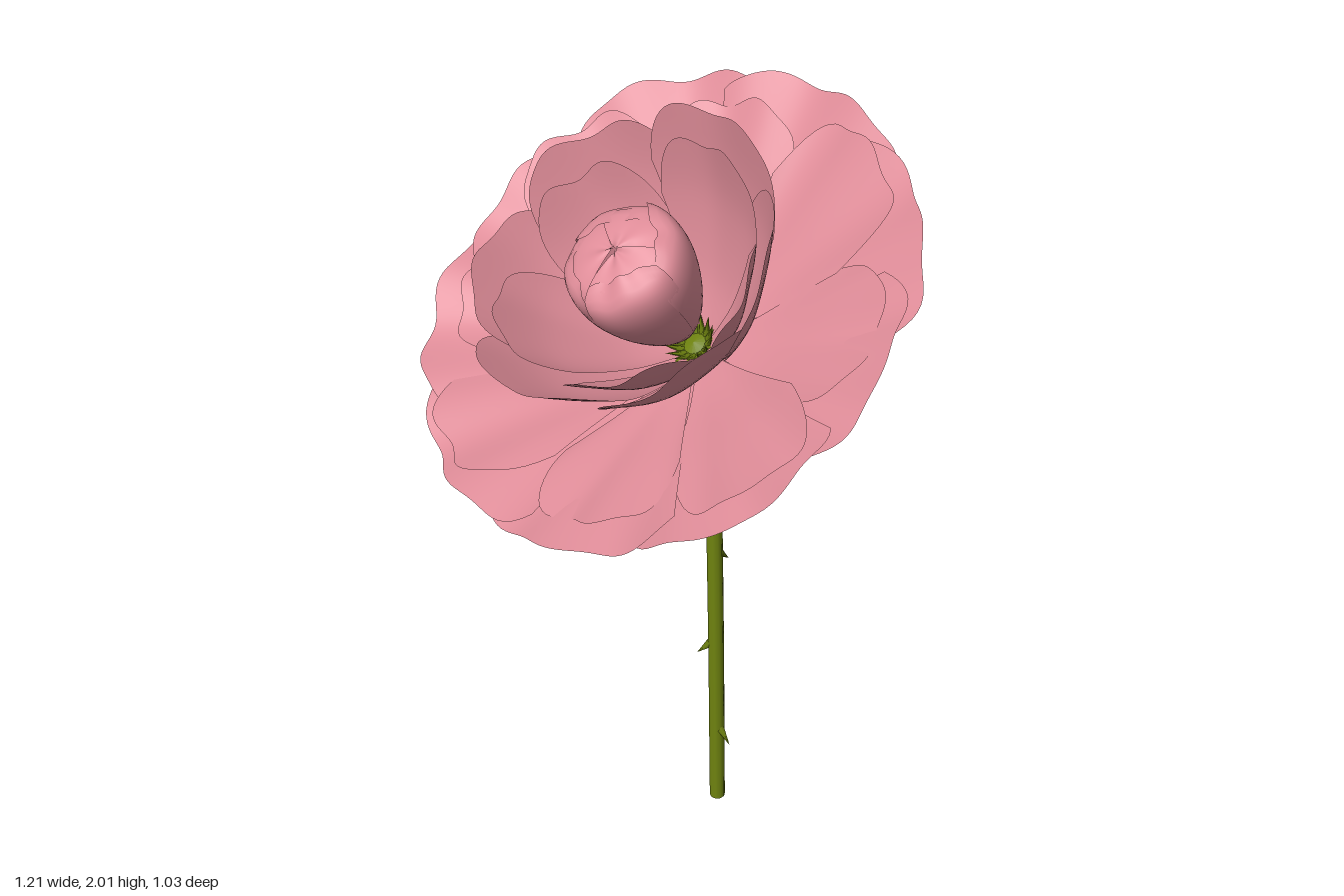
import * as THREE from 'three';

const petalMat = new THREE.MeshStandardMaterial({ color: 0xe08d99, side: THREE.DoubleSide });
petalMat.name = 'petalPink';
const greenMat = new THREE.MeshStandardMaterial({ color: 0x6f8310 });
greenMat.name = 'stemGreen';

const V = (x, y, z) => new THREE.Vector3(x, y, z);

function addMesh(parent, name, geometry, material) {
  const mesh = new THREE.Mesh(geometry, material);
  mesh.name = name;
  parent.add(mesh);
  return mesh;
}

// One petal: a sheet swept around the flower axis along a (radius, height) profile
function petalGeometry({ profile, angle, half, drop, ruffle, frill, twist, phase, lift, reach }) {
  const geo = new THREE.PlaneGeometry(2, 1, 36, 16);
  const curve = new THREE.SplineCurve(profile.map(([r, h]) => new THREE.Vector2(r, h)));
  const pos = geo.attributes.position;
  for (let i = 0; i < pos.count; i++) {
    const u = pos.getX(i), t = pos.getY(i) + 0.5;
    const edge = reach * (1 - drop * u ** 4 + frill * (Math.sin(10 * u + phase) - 1));
    const p = curve.getPoint(t * edge);
    const wave = ruffle * t ** 3 * Math.sin(6 * u + phase) + twist * u * t + lift * t;
    const a = angle + u * half * (0.85 + 0.15 * t);
    pos.setXYZ(i, p.x * Math.sin(a), p.y + wave, p.x * Math.cos(a));
  }
  geo.computeVertexNormals();
  return geo;
}

// Ring of petals; reaches gives the length of each petal in turn
function petalRing(parent, name, count, start, reaches, stagger, options) {
  const ring = new THREE.Group();
  ring.name = name;
  for (let i = 0; i < count; i++) {
    const geo = petalGeometry({
      ...options,
      angle: start + (i * 2 * Math.PI) / count,
      phase: i * 2.3 + start,
      lift: (i % 2 ? 1 : -1) * stagger,
      reach: reaches[i % reaches.length],
    });
    addMesh(ring, 'petal', geo, petalMat);
  }
  parent.add(ring);
}

// Cone running from one point to another
function addSpike(parent, name, from, to, radius, sides = 6) {
  const dir = to.clone().sub(from);
  const geo = new THREE.ConeGeometry(radius, dir.length(), sides);
  const mesh = addMesh(parent, name, geo, greenMat);
  mesh.position.copy(from).addScaledVector(dir, 0.5);
  mesh.quaternion.setFromUnitVectors(V(0, 1, 0), dir.normalize());
}

export function createModel() {
  const flower = new THREE.Group();
  flower.name = 'flower';

  // Stem with a slight lean and a bend into the head
  const path = new THREE.CatmullRomCurve3([
    V(0.034, 0, -0.147), V(0.016, 0.6, -0.147), V(-0.005, 1.15, -0.146),
    V(-0.009, 1.28, -0.142), V(-0.012, 1.39, -0.118),
  ]);
  addMesh(flower, 'stem', new THREE.TubeGeometry(path, 40, 0.02, 10), greenMat);
  const cap = addMesh(flower, 'stemEnd', new THREE.CircleGeometry(0.02, 10), greenMat);
  cap.rotation.x = Math.PI / 2;
  cap.position.set(0.034, 0.001, -0.147);

  // Thorns hooking downwards
  addSpike(flower, 'thorn', V(0.035, 0.245, -0.147), V(0.074, 0.203, -0.15), 0.013);
  addSpike(flower, 'thorn', V(0.008, 0.52, -0.14), V(-0.02, 0.48, -0.118), 0.013);
  addSpike(flower, 'thorn', V(0.01, 0.81, -0.155), V(0.008, 0.765, -0.194), 0.013);

  // Head, tilted towards the front
  const head = new THREE.Group();
  head.name = 'flowerHead';
  head.position.set(-0.009, 1.42, -0.105);
  head.rotation.x = 0.595;
  flower.add(head);

  const bulb = [[0, -0.08], [0.028, -0.075], [0.045, -0.045], [0.058, -0.005], [0.06, 0.018], [0, 0.035]];
  addMesh(head, 'receptacle',
    new THREE.LatheGeometry(bulb.map(([r, h]) => new THREE.Vector2(r, h)), 14), greenMat);

  // Sepals
  for (let i = 0; i < 6; i++) {
    const a = (i * Math.PI) / 3 + 0.15;
    const len = i % 2 ? 0.14 : 0.165;
    addSpike(head, 'sepal', V(0.035 * Math.sin(a), -0.01, 0.035 * Math.cos(a)),
      V(len * Math.sin(a), -0.065, len * Math.cos(a)), 0.02);
  }

  // Stamens inside and just outside the foot of the cup
  for (let i = 0; i < 28; i++) {
    const a = (i * 2 * Math.PI) / 28;
    const [r, h] = i % 2 ? [0.065, 0.07] : [0.1, 0.055];
    addSpike(head, 'stamen', V(0.03 * Math.sin(a), 0.02, 0.03 * Math.cos(a)),
      V(r * Math.sin(a), h, r * Math.cos(a)), 0.009, 5);
  }

  // Wide outer petals in two overlapping rows
  const outerProfile = [[0.03, 0.005], [0.2, 0.055], [0.4, 0.13], [0.63, 0.213]];
  petalRing(head, 'outerPetals', 9, Math.PI, [1, 0.98, 0.96, 0.96, 0.98, 0.98, 0.96, 0.95, 0.98], 0.008, {
    profile: outerProfile, half: 0.48, drop: 0.1, ruffle: 0.015, frill: 0.012, twist: 0.016,
  });
  petalRing(head, 'secondPetals', 8, Math.PI + 0.39, [0.86, 0.91], 0.008, {
    profile: outerProfile.map(([r, h]) => [r, h * 1.12 + 0.012]),
    half: 0.42, drop: 0.25, ruffle: 0.012, frill: 0.012, twist: 0.014,
  });

  // Cupped middle petals, longest at the back and the front
  const cupProfile = [[0.035, 0.02], [0.16, 0.12], [0.29, 0.28], [0.38, 0.455]];
  petalRing(head, 'middlePetals', 6, Math.PI, [0.99, 0.92, 0.93, 1, 0.93, 0.92], 0.006, {
    profile: cupProfile, half: 0.66, drop: 0.26, ruffle: 0.012, frill: 0.01, twist: 0.018,
  });
  petalRing(head, 'innerPetals', 5, Math.PI, [0.9, 0.85, 0.9, 0.9, 0.85], 0.006, {
    profile: cupProfile.map(([r, h]) => [r * 0.88, h]),
    half: 0.62, drop: 0.28, ruffle: 0.012, frill: 0.01, twist: 0.016,
  });

  // Cup-shaped bud with a low, folded crown
  const budProfile = [[0.02, 0.08], [0.078, 0.16], [0.122, 0.26], [0.143, 0.355], [0.131, 0.42], [0.075, 0.45]];
  petalRing(head, 'budOuterPetals', 4, 0.8, [1, 0.92], 0.004, {
    profile: budProfile, half: 0.95, drop: 0.12, ruffle: 0.006, frill: 0.01, twist: 0.01,
  });
  petalRing(head, 'budInnerPetals', 3, Math.PI, [1], 0.003, {
    profile: [...budProfile.slice(0, 5).map(([r, h]) => [r * 0.93, h]), [0.06, 0.445], [0.004, 0.45]],
    half: 1.15, drop: 0.03, ruffle: 0.003, frill: 0.004, twist: 0.006,
  });

  return flower;
}
